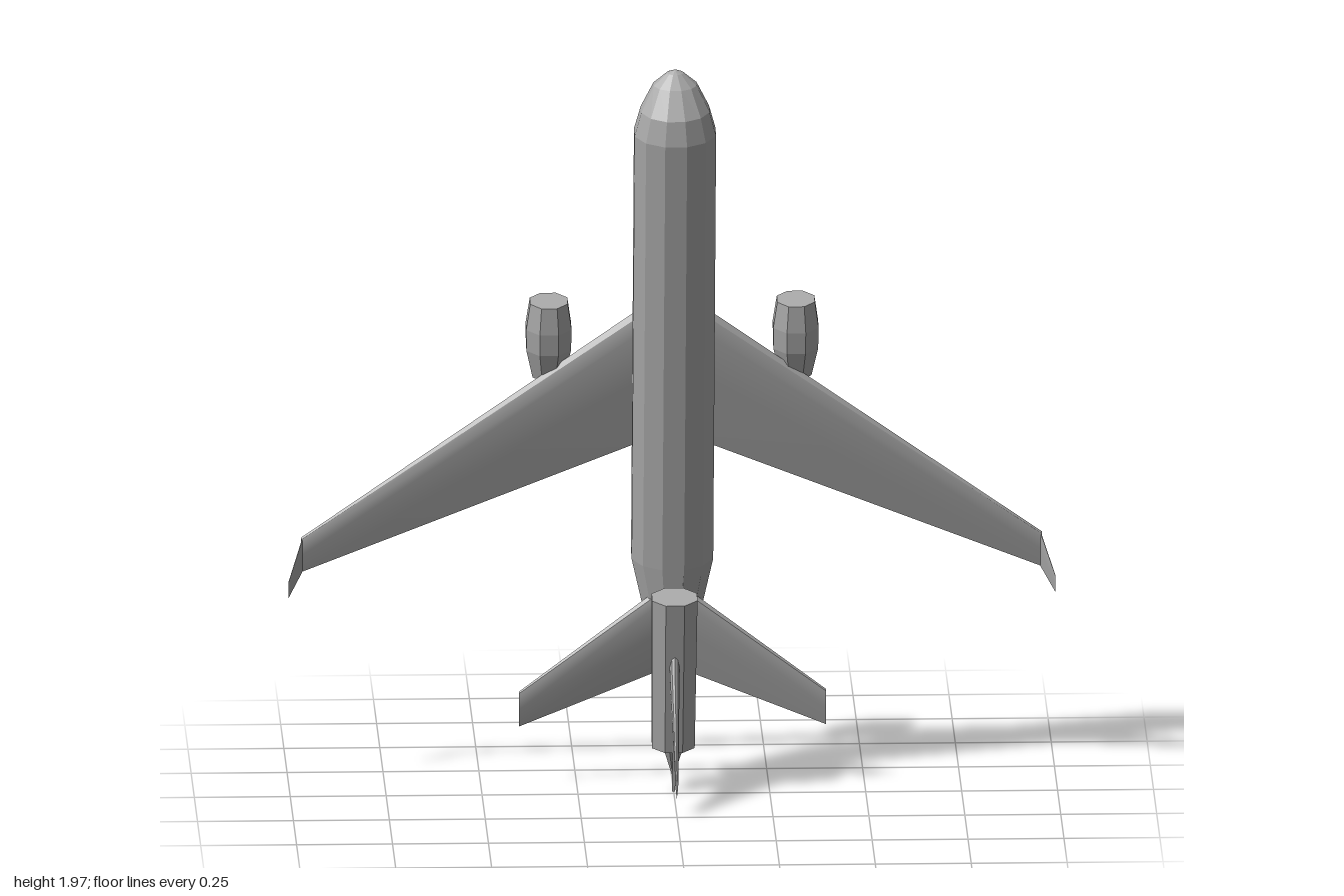
import * as THREE from 'three';
import { toCreasedNormals } from 'three/addons/utils/BufferGeometryUtils.js';

const V = (x, y, z) => new THREE.Vector3(x, y, z);

// Closed, outward-facing skin through a list of equal-length rings.
function loft(rings, crease = 0.02) {
  const n = rings[0].length;
  const tris = [];
  for (let i = 0; i < rings.length - 1; i++) {
    for (let j = 0; j < n; j++) {
      const k = (j + 1) % n;
      const a = rings[i][j], b = rings[i][k], c = rings[i + 1][k], d = rings[i + 1][j];
      tris.push([a, b, c], [a, c, d]);
    }
  }
  const first = rings[0], last = rings[rings.length - 1];
  for (let j = 1; j < n - 1; j++) {
    tris.push([first[0], first[j + 1], first[j]], [last[0], last[j], last[j + 1]]);
  }
  // A negative volume means the skin is inside out.
  const volume = tris.reduce((s, [a, b, c]) => s + a.dot(b.clone().cross(c)), 0);
  const points = [];
  for (const [a, b, c] of tris) points.push(...(volume < 0 ? [a, c, b] : [a, b, c]));
  return toCreasedNormals(new THREE.BufferGeometry().setFromPoints(points), crease);
}

// Oval ring across the aircraft's long axis (y).
function oval(y, rx, zLow, zHigh, sides = 12, x = 0) {
  const ring = [];
  for (let i = 0; i < sides; i++) {
    const a = ((i + 0.5) / sides) * Math.PI * 2;
    ring.push(V(x + rx * Math.cos(a), y, (zLow + zHigh) / 2 + ((zHigh - zLow) / 2) * Math.sin(a)));
  }
  return ring;
}

// Aerofoil outline: fraction along the chord, fraction of half thickness.
const AEROFOIL = [[0, 0], [0.04, 0.6], [0.15, 1], [0.5, 0.75], [1, 0.04],
  [1, -0.04], [0.5, -0.75], [0.15, -1], [0.04, -0.6]];

// Sections are [span, leading y, trailing y, height, half thickness].
function blade(sections, place) {
  return loft(sections.map(([s, lead, trail, h, t]) =>
    AEROFOIL.map(([f, g]) => place(s, lead + (trail - lead) * f, h + g * t))), 0.5);
}

export function createModel() {
  const grey = new THREE.MeshStandardMaterial({ color: 0xaaaaaa });
  grey.name = 'grey';

  const model = new THREE.Group();
  model.name = 'airliner';
  const craft = new THREE.Group();
  craft.name = 'airframe';
  craft.rotation.x = 0.188; // nose up, leaning slightly forward
  model.add(craft);

  const add = (name, geometry) => {
    const mesh = new THREE.Mesh(geometry, grey);
    mesh.name = name;
    craft.add(mesh);
    return mesh;
  };

  // Fuselage with drooped nose and tapered tail
  add('fuselage', loft([
    oval(0.163, 0.012, -0.211, -0.164),
    oval(0.582, 0.11, -0.352, -0.157),
    oval(1.8, 0.11, -0.352, -0.157),
    oval(1.865, 0.092, -0.34, -0.174),
    oval(1.93, 0.058, -0.318, -0.227),
    oval(1.96, 0.022, -0.295, -0.262),
    oval(1.967, 0.004, -0.283, -0.275),
  ]));

  for (const [side, m] of [['left', 1], ['right', -1]]) {
    const flat = (s, y, h) => V(m * s, y, h);
    // Main wing
    add(side + 'Wing', blade([
      [0.05, 1.281, 0.884, -0.335, 0.025],
      [0.965, 0.617, 0.517, -0.305, 0.008],
    ], flat));
    // Upturned wing tip
    add(side + 'Winglet', blade([
      [0.962, 0.617, 0.517, -0.305, 0.008],
      [1.0, 0.515, 0.468, -0.247, 0.002],
    ], flat));
    // Tailplane
    add(side + 'Tailplane', blade([
      [0.02, 0.527, 0.284, -0.193, 0.018],
      [0.4, 0.241, 0.14, -0.15, 0.006],
    ], flat));
    // Wing engine: casing and exhaust cone
    const pod = (y, r) => oval(y, r, -0.37 - r, -0.37 + r, 8, m * 0.322);
    add(side + 'Engine', loft([pod(1.05, 0.045), pod(1.13, 0.063), pod(1.19, 0.064), pod(1.262, 0.053)]));
    add(side + 'ExhaustCone', loft([pod(0.943, 0.002), pod(1.06, 0.032)]));
  }

  // Tail engine above the fuselage
  const tailPod = (y, r, z) => oval(y, r, z - r * 0.93, z + r * 0.93, 8);
  add('tailEngine', loft([tailPod(0.117, 0.06, -0.081), tailPod(0.555, 0.064, -0.053)]));
  add('tailExhaustCone', loft([tailPod(0.027, 0.002, -0.084), tailPod(0.13, 0.034, -0.081)]));

  // Pylon joining tail engine and fuselage
  const pylon = add('tailPylon', new THREE.BoxGeometry(0.024, 0.33, 0.1));
  pylon.position.set(0, 0.36, -0.13);

  // Upright fin
  add('fin', blade([
    [-0.05, 0.45, 0.205, 0, 0.014],
    [-0.007, 0.4, 0.187, 0, 0.013],
    [0.21, 0.152, 0.099, 0, 0.004],
  ], (s, y, h) => V(h, y, s)));

  // Thin strip trailing behind the tail engine
  const strip = add('tailStrip', new THREE.BoxGeometry(0.008, 0.2, 0.028));
  strip.position.set(0, 0.109, -0.04);
  strip.rotation.x = -0.06;

  return model;
}
